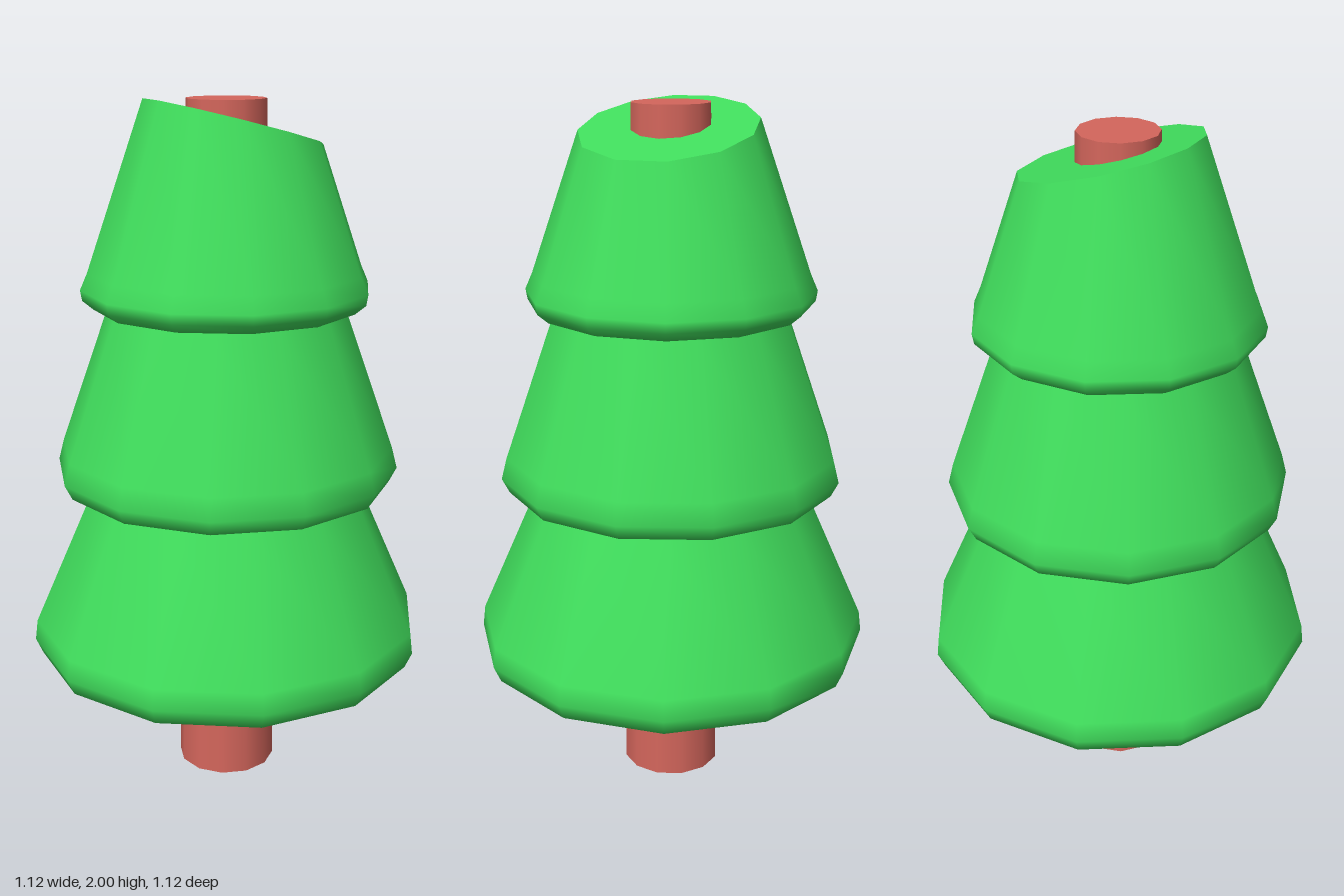
import * as THREE from 'three';

const SIDES = 12;
const HALF = Math.PI / SIDES;
const APOTHEM = Math.cos(HALF);
const green = new THREE.MeshStandardMaterial({ color: 0x40dd5c });
const bark = new THREE.MeshStandardMaterial({ color: 0xd4665c });

// Twelve-sided ring of foliage; a turned tier has flat sides facing the axes
function tierGeometry(profile, turned) {
  const s = turned ? 1 / APOTHEM : 1;
  const points = profile.map(([r, y]) => new THREE.Vector2(r * s, y));
  return new THREE.LatheGeometry(points, SIDES, turned ? HALF : 0);
}

// Moves one ring of a lathe onto the slanted cut at the tree top
function slantRing(geometry, ring, ringCount) {
  const p = geometry.attributes.position;
  for (let i = 0; i <= SIDES; i++) {
    const k = i * ringCount + ring;
    const a = Math.atan2(p.getZ(k), p.getX(k));
    const r = 0.25 / (1 - 0.0922 * Math.cos(a));
    const x = r * Math.cos(a);
    p.setXYZ(k, x, 1.942 - 0.265 * x, r * Math.sin(a));
  }
}

export function createModel() {
  const tree = new THREE.Group();
  tree.name = 'tree';
  const add = (name, geometry, material) => {
    const mesh = new THREE.Mesh(geometry, material);
    mesh.name = name;
    tree.add(mesh);
    return mesh;
  };

  // Tapered trunk running through the whole tree
  add('trunk', new THREE.CylinderGeometry(0.112, 0.145, 2, SIDES), bark).position.y = 1;

  // Lower and middle foliage, each tucked into the tier above
  add('lowerFoliage', tierGeometry([
    [0, 0.339], [0.26, 0.339], [0.466, 0.353], [0.54, 0.383],
    [0.56, 0.43], [0.553, 0.49], [0.387, 0.88], [0.336, 1.0],
  ], true), green);
  add('middleFoliage', tierGeometry([
    [0, 0.875], [0.307, 0.88], [0.413, 0.892], [0.478, 0.91],
    [0.5, 0.953], [0.484, 1.015], [0.344, 1.41], [0.308, 1.51],
  ], false), green);

  // Upper foliage with its slanted top
  const upper = [
    [0, 1.41], [0.3, 1.412], [0.365, 1.427], [0.395, 1.453],
    [0.4, 1.483], [0.38, 1.53], [0.242, 1.94],
  ];
  const upperGeometry = tierGeometry(upper, true);
  slantRing(upperGeometry, upper.length - 1, upper.length);
  add('upperFoliage', upperGeometry, green);

  // Flat face of the cut
  const cut = tierGeometry([[0.242, 1.942], [0, 1.942]], true);
  slantRing(cut, 0, 2);
  cut.computeVertexNormals();
  add('cutFace', cut, green);

  return tree;
}
